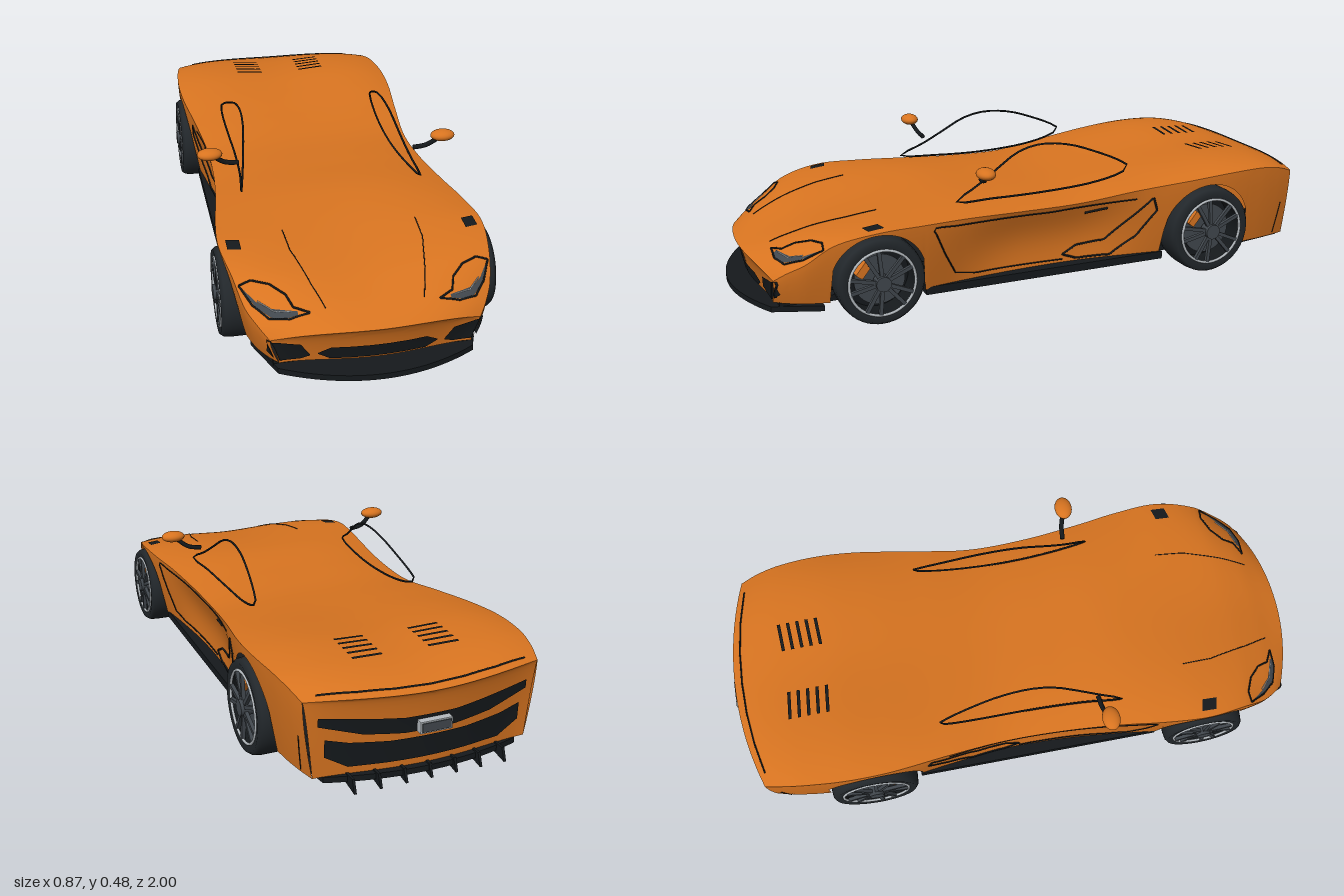
import * as THREE from 'three';
import { mergeGeometries, toCreasedNormals } from 'three/addons/utils/BufferGeometryUtils.js';

const mat = (name, color) => {
  const m = new THREE.MeshStandardMaterial({ color, side: THREE.DoubleSide });
  m.name = name;
  return m;
};
const V = (x, y, z) => new THREE.Vector3(x, y, z);
const lerp = THREE.MathUtils.lerp;

// Body stations: z, half width, centre height, shoulder height, fender hump
const STATIONS = [
  [0.965, 0.31, 0.188, 0.153, 0], [0.92, 0.337, 0.205, 0.18, 0.005], [0.85, 0.367, 0.232, 0.212, 0.012],
  [0.75, 0.39, 0.262, 0.268, 0.012], [0.6, 0.412, 0.29, 0.298, 0.009], [0.45, 0.403, 0.31, 0.3, 0.004],
  [0.3, 0.383, 0.32, 0.297, 0], [0.1, 0.365, 0.313, 0.29, 0], [-0.1, 0.362, 0.31, 0.291, 0],
  [-0.3, 0.382, 0.325, 0.315, 0.003], [-0.5, 0.407, 0.345, 0.335, 0.01], [-0.65, 0.412, 0.356, 0.346, 0.012],
  [-0.8, 0.402, 0.352, 0.347, 0.01], [-0.9, 0.388, 0.337, 0.335, 0.008], [-0.98, 0.372, 0.312, 0.315, 0.004],
];
const ARCHES = [[0.595, 0.14, 0.15], [-0.57, 0.15, 0.162]]; // z, y, radius
const BOTTOM = 0.075, DECK = 14, SIDE = 10;

// Smooth interpolation of the station table
function station(s) {
  let i = 0;
  while (i < STATIONS.length - 2 && s < STATIONS[i + 1][0]) i++;
  const at = k => STATIONS[THREE.MathUtils.clamp(k, 0, STATIONS.length - 1)];
  const [p, a, b, q] = [at(i - 1), at(i), at(i + 1), at(i + 2)];
  const h = b[0] - a[0], t = (s - a[0]) / h;
  return a.map((v, k) => {
    const m0 = (b[k] - p[k]) / (b[0] - p[0]) * h, m1 = (q[k] - a[k]) / (q[0] - a[0]) * h;
    const t2 = t * t, t3 = t2 * t;
    return (2 * t3 - 3 * t2 + 1) * v + (t3 - 2 * t2 + t) * m0 + (3 * t2 - 2 * t3) * b[k] + (t3 - t2) * m1;
  });
}

// Nose and tail sweep back towards the corners
function sweep(s, u) {
  const k = Math.max(0, (Math.abs(s) - 0.5) / 0.47);
  return s - Math.sign(s) * 0.06 * k * k * u * u;
}
const deckHeight = ([, , yc, ys, hump], u) => yc + (ys - yc) * u ** 3 + hump * 6.75 * u * u * (1 - u);

// Half cross-section, from the centre of the deck to the sill
function halfSection(s) {
  const st = station(s), [, w, , ys] = st, zEdge = sweep(s, 1);
  const pts = [];
  for (let i = 0; i <= DECK; i++) {
    const u = i / DECK;
    pts.push(V(u * w, deckHeight(st, u), sweep(s, u)));
  }
  let low = BOTTOM;
  for (const [z, y, r] of ARCHES) {
    const d = Math.abs(zEdge - z);
    if (d < r) low = Math.min(y + Math.sqrt(r * r - d * d), ys - 0.006);
  }
  const waist = 0.022 * Math.exp(-((s / 0.3) ** 4));
  for (let j = 1; j <= SIDE; j++) {
    const y = lerp(ys, low, j / SIDE), v = (ys - y) / (ys - BOTTOM);
    pts.push(V(w * (1 - 0.08 * v ** 1.5) - waist * Math.sin(Math.PI * v), y, zEdge));
  }
  return pts;
}

function grid(rows, flip = false) {
  const n = rows[0].length, index = [];
  for (let j = 0; j < rows.length - 1; j++) for (let i = 0; i < n - 1; i++) {
    const a = j * n + i, b = a + 1, c = a + n, d = c + 1;
    index.push(...(flip ? [a, c, b, b, c, d] : [a, b, c, b, d, c]));
  }
  const g = new THREE.BufferGeometry().setFromPoints(rows.flat());
  g.setIndex(index);
  return g;
}

// Nose or tail panel closing the end section
function endCap(s, lean) {
  const st = station(s), half = halfSection(s), rows = [];
  for (let r = 0; r <= SIDE; r++) {
    const edge = half[DECK + r], v = r / SIDE, row = [];
    for (let i = -DECK; i <= DECK; i++) {
      const u = i / DECK, a = Math.abs(u);
      row.push(V(u * edge.x, lerp(deckHeight(st, a), edge.y, v), sweep(s, u) - Math.sign(s) * lean * v * (1 - a ** 4)));
    }
    rows.push(row);
  }
  return grid(rows, s > 0);
}

function bodyGeometry() {
  const rows = [], steps = 194;
  for (let k = 0; k <= steps; k++) {
    const half = halfSection(lerp(0.965, -0.98, k / steps));
    rows.push([...half.slice(1).reverse().map(p => V(-p.x, p.y, p.z)), ...half]);
  }
  return toCreasedNormals(mergeGeometries([grid(rows), endCap(0.965, 0.035), endCap(-0.98, 0.03)]), 0.7);
}

export function createModel() {
  const paint = mat('orange paint', 0xd87420), black = mat('black trim', 0x15191c);
  const rubber = mat('tyre rubber', 0x22272b), metal = mat('dark metal', 0x41474d), silver = mat('silver', 0xb4babf);
  const model = new THREE.Group(), left = new THREE.Group();
  model.name = 'sportsCar';
  left.name = 'leftSideParts';
  const add = (parent, name, geo, m, x = 0, y = 0, z = 0) => {
    const mesh = new THREE.Mesh(geo, m);
    mesh.name = name;
    mesh.position.set(x, y, z);
    parent.add(mesh);
    return mesh;
  };
  const body = add(model, 'bodyShell', bodyGeometry(), paint);

  // Lay points on the body from one direction
  const ray = new THREE.Raycaster();
  let last = V(0, 0, 0);
  const project = (origin, dir, lift) => {
    ray.set(origin, dir);
    const hit = ray.intersectObject(body)[0];
    if (!hit) return last.clone();
    const n = hit.face.normal.clone();
    if (n.dot(dir) > 0) n.negate();
    return (last = hit.point.addScaledVector(n, lift));
  };
  const onTop = (x, z, l) => project(V(x, 2, z), V(0, -1, 0), l);
  const onSide = (z, y, l) => project(V(2, y, z), V(-1, 0, 0), l);
  const onFront = (x, y, l) => project(V(x, y, 2), V(0, 0, -1), l);
  const onRear = (x, y, l) => project(V(x, y, -2), V(0, 0, 1), l);

  const tube = (parent, name, pts, r, m, closed = false) => add(parent, name,
    new THREE.TubeGeometry(new THREE.CatmullRomCurve3(pts, closed), pts.length * 3, r, 6, closed), m);
  const seam = (parent, name, on, pts, r, closed = false) => {
    const path = [], count = closed ? pts.length : pts.length - 1;
    for (let i = 0; i < count; i++) {
      const a = pts[i], b = pts[(i + 1) % pts.length];
      for (let k = 0; k < 5; k++) path.push(on(lerp(a[0], b[0], k / 5), lerp(a[1], b[1], k / 5), 0.001));
    }
    if (!closed) path.push(on(...pts[count], 0.001));
    return tube(parent, name, path, r, black, closed);
  };
  // Thin plate given as [a, b0, b1] slices
  const plate = (parent, name, on, slices, m, lift = 0.005) => {
    const rows = [];
    slices.forEach((s, i) => {
      const n = slices[i + 1] || s, steps = slices[i + 1] ? 5 : 1;
      for (let k = 0; k < steps; k++) {
        const [a, b0, b1] = s.map((v, c) => lerp(v, n[c], k / steps));
        rows.push([0, 0.25, 0.5, 0.75, 1].map(t => on(a, lerp(b0, b1, t), lift)));
      }
    });
    const g = grid(rows);
    g.computeVertexNormals();
    return add(parent, name, g, m);
  };
  const bothSides = slices => [...slices.map(([x, a, b]) => [-x, a, b]).reverse(), ...slices];

  // Nose
  plate(model, 'frontGrille', onFront, bothSides([[0.14, 0.127, 0.084], [0.175, 0.107, 0.103]]), black);
  plate(left, 'cornerIntake', onFront, [[0.198, 0.102, 0.098], [0.225, 0.142, 0.088], [0.285, 0.15, 0.086], [0.314, 0.152, 0.11]], black);
  const lamp = [[0.375, 0.762], [0.34, 0.757], [0.29, 0.78], [0.25, 0.82], [0.235, 0.86], [0.19, 0.885], [0.25, 0.887], [0.305, 0.868], [0.345, 0.82]];
  seam(left, 'headlightOutline', onTop, lamp, 0.003, true);
  plate(left, 'headlightLens', onTop, [[0.225, 0.874, 0.884], [0.26, 0.862, 0.884], [0.3, 0.846, 0.867], [0.335, 0.815, 0.83], [0.362, 0.778, 0.786]], metal, 0.002);
  seam(left, 'headlightEdge', onTop, [[0.24, 0.872], [0.29, 0.855], [0.33, 0.815]], 0.002).material = silver;
  seam(left, 'bonnetCrease', onTop, [[0.21, 0.55], [0.205, 0.65], [0.17, 0.8], [0.145, 0.88]], 0.0015);
  plate(left, 'fenderVent', onTop, [[0.348, 0.585, 0.635], [0.388, 0.575, 0.625]], black, 0.003);

  // Doors and side intakes
  seam(left, 'doorSeam', onSide, [[-0.3, 0.285], [0, 0.272], [0.42, 0.282], [0.38, 0.19], [0.34, 0.115], [0.27, 0.1], [-0.05, 0.092]], 0.0025);
  seam(left, 'sideIntakeOutline', onSide, [[-0.05, 0.108], [-0.1, 0.135], [-0.2, 0.145], [-0.3, 0.23], [-0.36, 0.285], [-0.375, 0.24], [-0.31, 0.15], [-0.22, 0.09], [-0.1, 0.09]], 0.0035, true);
  seam(left, 'doorHandle', onSide, [[-0.12, 0.252], [-0.2, 0.262]], 0.004);
  seam(left, 'rearBumperSeam', onSide, [[-0.87, 0.085], [-0.885, 0.2]], 0.0015);

  // Free-standing window frame
  const frame = [[0.31, 0.328], [0.23, 0.37], [0.16, 0.412], [0.08, 0.458], [0, 0.475], [-0.1, 0.465], [-0.2, 0.432], [-0.29, 0.392],
    [-0.315, 0.372], [-0.28, 0.352], [-0.18, 0.33], [0, 0.318], [0.18, 0.32]];
  tube(left, 'windowFrame', frame.map(([z, y]) => V(0.277 - (y - 0.318) * 0.15 + 0.25 * z * z * (z > 0 ? 1 : 0.6), y, z)), 0.0035, black, true);

  // Door mirror
  add(left, 'mirrorShell', new THREE.SphereGeometry(1, 24, 16).scale(0.041, 0.019, 0.03), paint, 0.39, 0.438, 0.245);
  tube(left, 'mirrorArm', [V(0.295, 0.392, 0.225), V(0.34, 0.4, 0.23), V(0.378, 0.428, 0.242)], 0.008, black);

  // Engine cover louvres and tail
  for (let i = 0; i < 5; i++) {
    const z = -0.66 - i * 0.032;
    plate(left, 'deckLouvre', onTop, [[0.075, z, z - 0.011], [0.172, z + 0.012, z + 0.001].map((v, k) => k ? v - 0.018 : v)], black, 0.006);
  }
  const lip = [-0.33, -0.22, -0.11, 0, 0.11, 0.22, 0.33].map(x => [x, -0.953 + 0.4 * x * x]);
  seam(model, 'tailLipLine', onTop, lip, 0.003);
  plate(model, 'tailLightPanel', onRear, bothSides([[0.08, 0.237, 0.187], [0.2, 0.25, 0.2], [0.33, 0.265, 0.238]]), black);
  plate(model, 'rearLowerGrille', onRear, bothSides([[0.12, 0.168, 0.098], [0.24, 0.178, 0.1], [0.31, 0.195, 0.14]]), black);
  add(model, 'tailPlateRim', new THREE.BoxGeometry(0.1, 0.036, 0.022), silver, 0, 0.212, -0.985);
  add(model, 'tailPlate', new THREE.BoxGeometry(0.09, 0.027, 0.026), metal, 0, 0.212, -0.986);

  // Floor, sills, splitter and diffuser
  add(model, 'floor', new THREE.BoxGeometry(0.6, 0.02, 1.78), black, 0, 0.066, 0);
  add(left, 'sill', new THREE.BoxGeometry(0.075, 0.026, 0.85), black, 0.332, 0.069, 0.015);
  const flatPlate = (name, tipZ, cornerX, cornerZ, backX, backZ, y) => {
    const s = new THREE.Shape();
    s.moveTo(-backX, -backZ);
    s.lineTo(-cornerX, -cornerZ);
    s.quadraticCurveTo(0, -(2 * tipZ - cornerZ), cornerX, -cornerZ);
    s.lineTo(backX, -backZ);
    const g = new THREE.ExtrudeGeometry(s, { depth: 0.018, bevelEnabled: false, curveSegments: 24 });
    return add(model, name, g.rotateX(-Math.PI / 2), black, 0, y, 0);
  };
  flatPlate('frontSplitter', 1.0, 0.29, 0.915, 0.345, 0.76, 0.045).rotation.x = 0;
  flatPlate('rearDiffuser', -0.97, 0.31, -0.92, 0.34, -0.75, 0.056);
  for (let i = -3; i <= 3; i++) {
    const fin = new THREE.Shape([new THREE.Vector2(0.84, 0.06), new THREE.Vector2(0.985, 0.04), new THREE.Vector2(0.97, 0.08), new THREE.Vector2(0.84, 0.075)]);
    const g = new THREE.ExtrudeGeometry(fin, { depth: 0.008, bevelEnabled: false });
    add(model, 'diffuserFin', g.rotateY(Math.PI / 2), black, i * 0.08 - 0.004, 0, 0);
  }

  // Wheels
  const axle = (r, h, open = false) => new THREE.CylinderGeometry(r, r, h, 36, 1, open).rotateZ(-Math.PI / 2);
  const wheel = (name, z, r) => {
    const w = new THREE.Group();
    w.name = name;
    w.position.set(0.365, r, z);
    const profile = [[0.76, -0.055], [0.92, -0.06], [0.98, -0.048], [1, -0.025], [1, 0.025], [0.98, 0.048], [0.92, 0.06], [0.76, 0.055]];
    add(w, 'tyre', new THREE.LatheGeometry(profile.map(([k, h]) => new THREE.Vector2(k * r, h)), 48).rotateZ(-Math.PI / 2), rubber);
    add(w, 'rimBarrel', axle(0.76 * r, 0.11, true), black);
    add(w, 'rimBack', axle(0.755 * r, 0.01), black, -0.03);
    add(w, 'brakeDisc', axle(0.58 * r, 0.01), metal, 0.015);
    add(w, 'rimRing', new THREE.TorusGeometry(0.75 * r, 0.0045, 8, 48).rotateY(Math.PI / 2), silver, 0.056);
    add(w, 'hub', axle(0.17 * r, 0.04), metal, 0.05);
    for (let i = 0; i < 10; i++) {
      const a = (i + (i % 2 ? -0.15 : 0.15)) * Math.PI / 5;
      const spoke = new THREE.BoxGeometry(0.012, 0.64 * r, 0.012).translate(0, 0.42 * r, 0).rotateX(a);
      add(w, 'spoke', spoke, metal, 0.054);
    }
    add(w, 'brakeCaliper', new THREE.BoxGeometry(0.03, 0.025, 0.05).translate(0, 0.5 * r, 0).rotateX(0.9), paint, 0.03);
    left.add(w);
  };
  wheel('frontWheel', 0.595, 0.14);
  wheel('rearWheel', -0.57, 0.15);

  // Mirror the side parts
  const right = left.clone();
  right.name = 'rightSideParts';
  right.scale.x = -1;
  model.add(left, right);
  return model;
}
